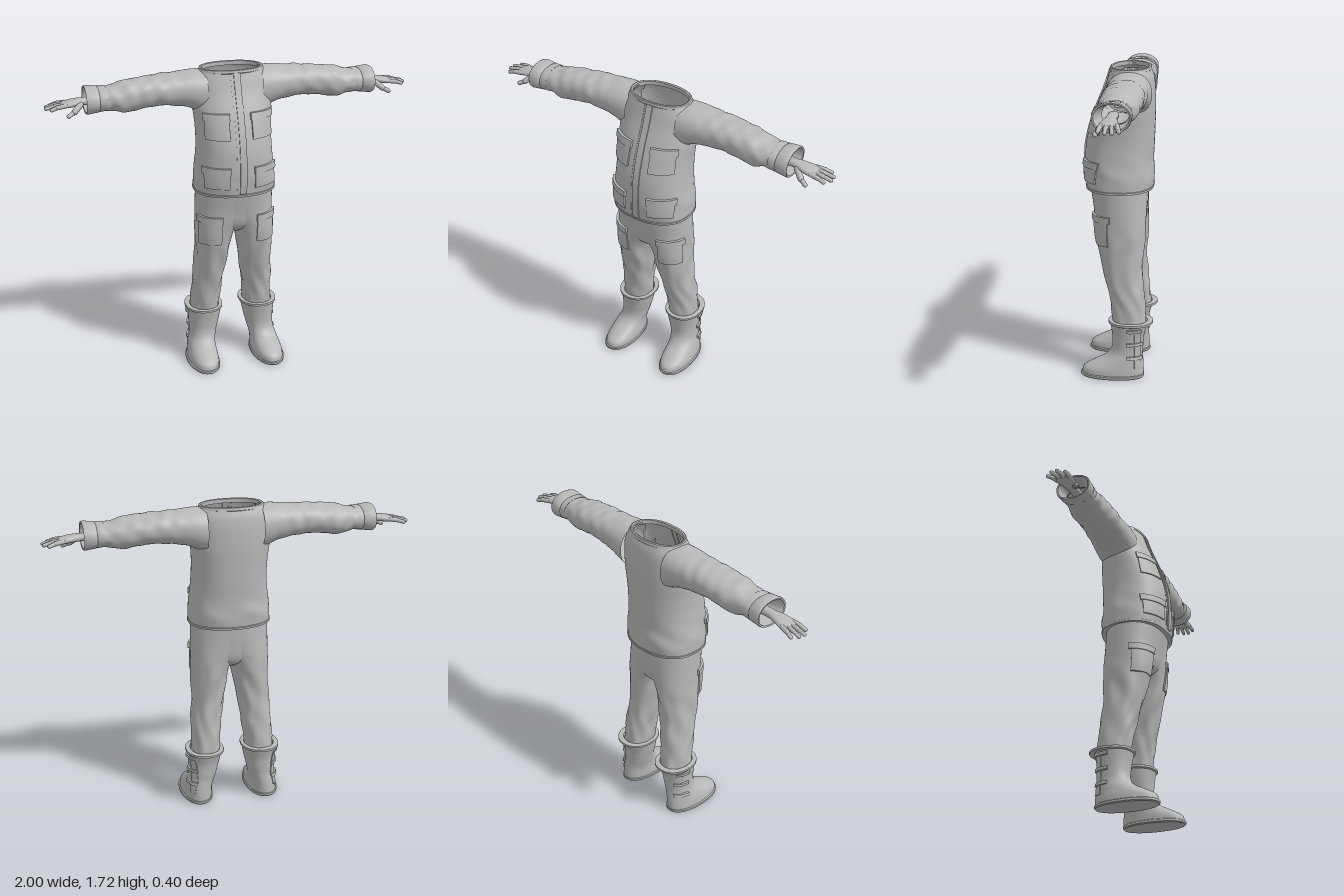
import * as THREE from 'three';
import { toCreasedNormals } from 'three/addons/utils/BufferGeometryUtils.js';

// Section rows: [position along axis, low/high of first cross axis, low/high of z]
const TORSO = [
  [1.05, -.223, .223, -.18, .185], [1.12, -.222, .222, -.186, .194], [1.2, -.213, .213, -.18, .194],
  [1.3, -.204, .204, -.184, .187], [1.4, -.205, .205, -.187, .163], [1.5, -.213, .213, -.189, .128],
  [1.6, -.209, .209, -.185, .086], [1.66, -.2, .2, -.176, .066], [1.7, -.174, .174, -.162, .053]];
const LEG = [
  [.3, .078, .235, -.16, .022], [.45, .065, .228, -.148, .045], [.6, .042, .218, -.135, .08],
  [.7, .025, .215, -.138, .105], [.8, .005, .215, -.145, .125], [.86, -.03, .215, -.147, .132],
  [.95, -.11, .215, -.15, .143], [1.08, -.2, .213, -.155, .168]];
const PELVIS = [
  [.8, -.05, .05, -.07, .05], [.83, -.1, .1, -.12, .1], [.87, -.165, .165, -.142, .126],
  [.95, -.208, .208, -.15, .143], [1.08, -.213, .213, -.156, .17]];
const SLEEVE = [
  [.15, 1.47, 1.703, -.181, .062], [.2, 1.488, 1.703, -.18, .06], [.24, 1.506, 1.701, -.177, .056],
  [.3, 1.518, 1.695, -.172, .051], [.4, 1.529, 1.69, -.165, .05], [.5, 1.522, 1.682, -.158, .05],
  [.58, 1.509, 1.672, -.15, .052], [.66, 1.525, 1.652, -.135, .044], [.72, 1.53, 1.648, -.13, .04]];
const BOOT = [
  [.02, .108, .275, -.15, .197], [.05, .108, .272, -.15, .186], [.08, .11, .265, -.148, .135],
  [.11, .108, .258, -.145, .076], [.14, .1, .25, -.142, .042], [.18, .09, .248, -.145, .028],
  [.24, .075, .25, -.15, .03], [.305, .062, .257, -.168, .04]];

// Smooth (Hermite) section at a given position
function at(table, s) {
  let i = 0;
  while (i < table.length - 2 && s > table[i + 1][0]) i++;
  const a = table[i], b = table[i + 1], p = table[Math.max(i - 1, 0)], q = table[Math.min(i + 2, table.length - 1)];
  const h = b[0] - a[0], t = Math.min(Math.max((s - a[0]) / h, 0), 1), t2 = t * t, t3 = t2 * t;
  return a.map((_, k) => k === 0 ? s :
    (2 * t3 - 3 * t2 + 1) * a[k] + (t3 - 2 * t2 + t) * h * (b[k] - p[k]) / (b[0] - p[0]) +
    (3 * t2 - 2 * t3) * b[k] + (t3 - t2) * h * (q[k] - a[k]) / (q[0] - a[0]));
}
const resample = (table, n) => Array.from({ length: n + 1 }, (_, i) =>
  at(table, THREE.MathUtils.lerp(table[0][0], table[table.length - 1][0], i / n)));

// Point on a rounded section; angle 0 faces the front, grow pushes outwards
const power = (v, e) => Math.sign(v) * Math.abs(v) ** e;
function point([s, lo, hi, back, front], a, grow, axis, e) {
  const u = (lo + hi) / 2 + ((hi - lo) / 2 + grow) * power(Math.sin(a), e) * (axis === 'x' ? -1 : 1);
  const z = (back + front) / 2 + ((front - back) / 2 + grow) * power(Math.cos(a), e);
  return axis === 'x' ? [s, u, z] : [u, s, z];
}

// Grid of points, optionally closed around u; skip leaves holes
function grid(fn, nu, nv, closed, skip) {
  const pos = [], index = [], w = closed ? nu : nu + 1;
  for (let j = 0; j <= nv; j++) for (let i = 0; i < w; i++) pos.push(...fn(i, j));
  for (let j = 0; j < nv; j++) for (let i = 0; i < nu; i++) {
    const i1 = (i + 1) % w, a = j * w + i, b = j * w + i1, c = a + w, d = b + w;
    if (skip && [a, b, c, d].every(k => skip(pos[k * 3], pos[k * 3 + 1], pos[k * 3 + 2]))) continue;
    index.push(a, b, d, a, d, c);
  }
  const g = new THREE.BufferGeometry();
  g.setAttribute('position', new THREE.Float32BufferAttribute(pos, 3));
  g.setIndex(index);
  g.computeVertexNormals();
  return g;
}
function loft(rows, { axis = 'y', n = 48, e = .92, bump = () => 0, skip } = {}) {
  return grid((i, j) => {
    const a = i / n * Math.PI * 2;
    return point(rows[j], a, bump(a, rows[j][0]), axis, e);
  }, n, rows.length - 1, true, skip);
}
const crisp = g => toCreasedNormals(g, .7);

// Section angle at a given x on the front, or a given z on the outer side
const ratio = (v, lo, hi, e) => power(Math.max(-1, Math.min(1, (2 * v - lo - hi) / (hi - lo))), 1 / e);
const angleAtX = (x, r, e) => Math.asin(ratio(x, r[1], r[2], e));
const angleAtZ = (z, r, e) => Math.acos(ratio(z, r[3], r[4], e));

// Raised patch lying on a lofted surface, between two x or z positions
function patch(table, angleAt, from, to, s0, s1, thick, e = .92) {
  const n = 14, f = i => Math.min(Math.max((i - 1) / (n - 2), 0), 1);
  return crisp(grid((i, j) => {
    const edge = i === 0 || j === 0 || i === n || j === n;
    const row = at(table, s0 + (s1 - s0) * f(j));
    const a = THREE.MathUtils.lerp(angleAt(from, row, e), angleAt(to, row, e), f(i));
    return point(row, a, edge ? -.006 : thick, 'y', e);
  }, n, n, false));
}

// Cloth folds
const { sin } = Math;
const folds = (a, s) => sin(3 * a + 34 * s + 2 * sin(19 * s)) * .5 + sin(5 * a - 57 * s) * .3 + sin(2 * a + 83 * s) * .3;
const sleeveFolds = (a, s) => .004 * folds(a, s) * Math.min(1, Math.max(0, (s - .2) * 5));
const legFolds = (a, s) => s > .88 ? 0 :
  .003 * (sin(7 * a + 9 * s + 2 * sin(14 * s)) + sin(4 * a - 31 * s) * .7) * Math.min(1, (.88 - s) * 8);
const hemFolds = (a, s) => .004 * folds(2 * a, s * .6) * Math.max(0, 1 - Math.abs(s - 1.15) / .12);

function fingerBone(from, to, r) {
  const p = new THREE.Vector3(...from), q = new THREE.Vector3(...to), d = q.clone().sub(p);
  const g = new THREE.CapsuleGeometry(r, d.length(), 5, 10);
  g.applyQuaternion(new THREE.Quaternion().setFromUnitVectors(new THREE.Vector3(0, 1, 0), d.normalize()));
  return g.translate(...p.add(q).multiplyScalar(.5).toArray());
}
function mirrored(geometry) {
  const g = geometry.index ? geometry.toNonIndexed() : geometry.clone();
  for (const name of ['position', 'normal']) {
    const src = g.attributes[name], out = src.clone();
    for (let i = 0; i < src.count; i++) {
      const k = i % 3 === 1 ? i + 1 : i % 3 === 2 ? i - 1 : i;
      out.setXYZ(i, -src.getX(k), src.getY(k), src.getZ(k));
    }
    g.setAttribute(name, out);
  }
  return g;
}

export function createModel() {
  const grey = new THREE.MeshStandardMaterial({ color: 0xb8b8b8, side: THREE.DoubleSide });
  grey.name = 'grey cloth';
  const model = new THREE.Group();
  model.name = 'workOutfit';
  const add = (name, g) => {
    const m = new THREE.Mesh(g, grey);
    m.name = name;
    model.add(m);
  };
  const pair = (name, g) => { add(name + 'Left', g); add(name + 'Right', mirrored(g)); };

  // Jacket, open at the neck and into the sleeves
  const armhole = (x, y, z) => Math.abs(x) > .155 && y > 1.525 && y < 1.67 && z > -.14 && z < .02;
  add('jacket', loft(resample(TORSO, 60), { n: 72, e: .87, bump: hemFolds, skip: armhole }));
  add('jacketHem', crisp(loft([
    [1.07, -.19, .19, -.14, .15], [1.05, -.19, .19, -.14, .15], [1.05, -.226, .226, -.183, .188],
    [1.062, -.226, .226, -.185, .19], [1.066, -.22, .22, -.18, .186]], { n: 72, e: .87 })));
  add('collar', crisp(loft([
    [1.692, -.17, .17, -.162, .054], [1.698, -.176, .176, -.166, .058], [1.712, -.172, .172, -.162, .055],
    [1.715, -.165, .165, -.156, .05], [1.712, -.157, .157, -.148, .042], [1.69, -.157, .157, -.148, .042]])));
  add('zipPlacket', patch(TORSO, angleAtX, -.015, .02, 1.07, 1.7, .008, .87));
  add('zipSeam', patch(TORSO, angleAtX, -.032, -.027, 1.07, 1.69, .002, .87));

  // Jacket and thigh pockets with flaps
  const pocket = (name, table, x0, x1, y0, y1, e) => {
    pair(name, patch(table, angleAtX, x0, x1, y0, y1 - .01, .008, e));
    pair(name + 'Flap', patch(table, angleAtX, x0 - .005, x1 + .004, y1 - .036, y1, .013, e));
  };
  pocket('chestPocket', TORSO, .06, .177, 1.365, 1.5, .87);
  pocket('hipPocket', TORSO, .068, .19, 1.1, 1.217, .87);
  pocket('thighPocket', LEG, .1, .206, .755, .92);

  // Sleeves and turned cuffs
  pair('sleeve', loft(resample(SLEEVE, 64), { axis: 'x', bump: sleeveFolds }));
  pair('cuff', crisp(loft([
    [.69, 1.54, 1.64, -.12, .03], [.68, 1.528, 1.653, -.135, .046], [.715, 1.523, 1.655, -.137, .05],
    [.72, 1.526, 1.652, -.134, .047], [.725, 1.522, 1.656, -.138, .051], [.78, 1.514, 1.662, -.14, .055],
    [.79, 1.517, 1.658, -.137, .052], [.788, 1.525, 1.65, -.129, .044], [.7, 1.538, 1.64, -.118, .012]], { axis: 'x' })));

  // Hands
  pair('palm', loft([
    [.71, 1.585, 1.585, -.045, -.045], [.71, 1.563, 1.607, -.072, -.018], [.79, 1.562, 1.602, -.07, -.017],
    [.83, 1.56, 1.6, -.08, -.005], [.87, 1.556, 1.594, -.09, .003], [.905, 1.556, 1.584, -.093, .005],
    [.92, 1.562, 1.577, -.085, -.003], [.92, 1.57, 1.57, -.045, -.045]], { axis: 'x', n: 24 }));
  [[-.082, -.1, .962], [-.058, -.069, .986], [-.034, -.036, .989], [-.008, -.001, .965]].forEach(([z0, z1, tip], i) => {
    const mid = [(.9 + tip) / 2, 1.568, (z0 + z1) / 2];
    pair('fingerBase' + (i + 1), fingerBone([.89, 1.573, z0], mid, .0125));
    pair('fingerTip' + (i + 1), fingerBone(mid, [tip, 1.558, z1], .0105));
  });
  pair('thumbBase', fingerBone([.815, 1.572, -.015], [.85, 1.542, .01], .016));
  pair('thumbTip', fingerBone([.85, 1.542, .01], [.882, 1.526, .024], .012));

  // Trousers
  add('trouserSeat', loft(resample(PELVIS, 24)));
  pair('trouserLeg', loft(resample(LEG, 80), { bump: legFolds }));

  // Boots with soles, rims and side straps
  pair('boot', loft(resample(BOOT, 36)));
  pair('bootSole', crisp(loft([
    [0, .19, .19, .02, .02], [0, .107, .277, -.148, .198], [.005, .102, .282, -.153, .203],
    [.017, .102, .282, -.153, .203], [.022, .11, .273, -.147, .194]])));
  pair('bootRim', crisp(loft([
    [.304, .064, .255, -.165, .038], [.31, .053, .267, -.196, .05], [.322, .053, .267, -.196, .05],
    [.325, .06, .26, -.187, .043], [.322, .075, .24, -.165, .028], [.3, .08, .235, -.158, .02]])));
  pair('bootStrap', patch(BOOT, angleAtZ, -.1, -.132, .065, .305, .005));
  [.285, .205, .125].forEach((y, i) =>
    pair('bootBuckle' + (i + 1), patch(BOOT, angleAtZ, -.06, -.134, y - .009, y + .009, .012)));
  return model;
}
